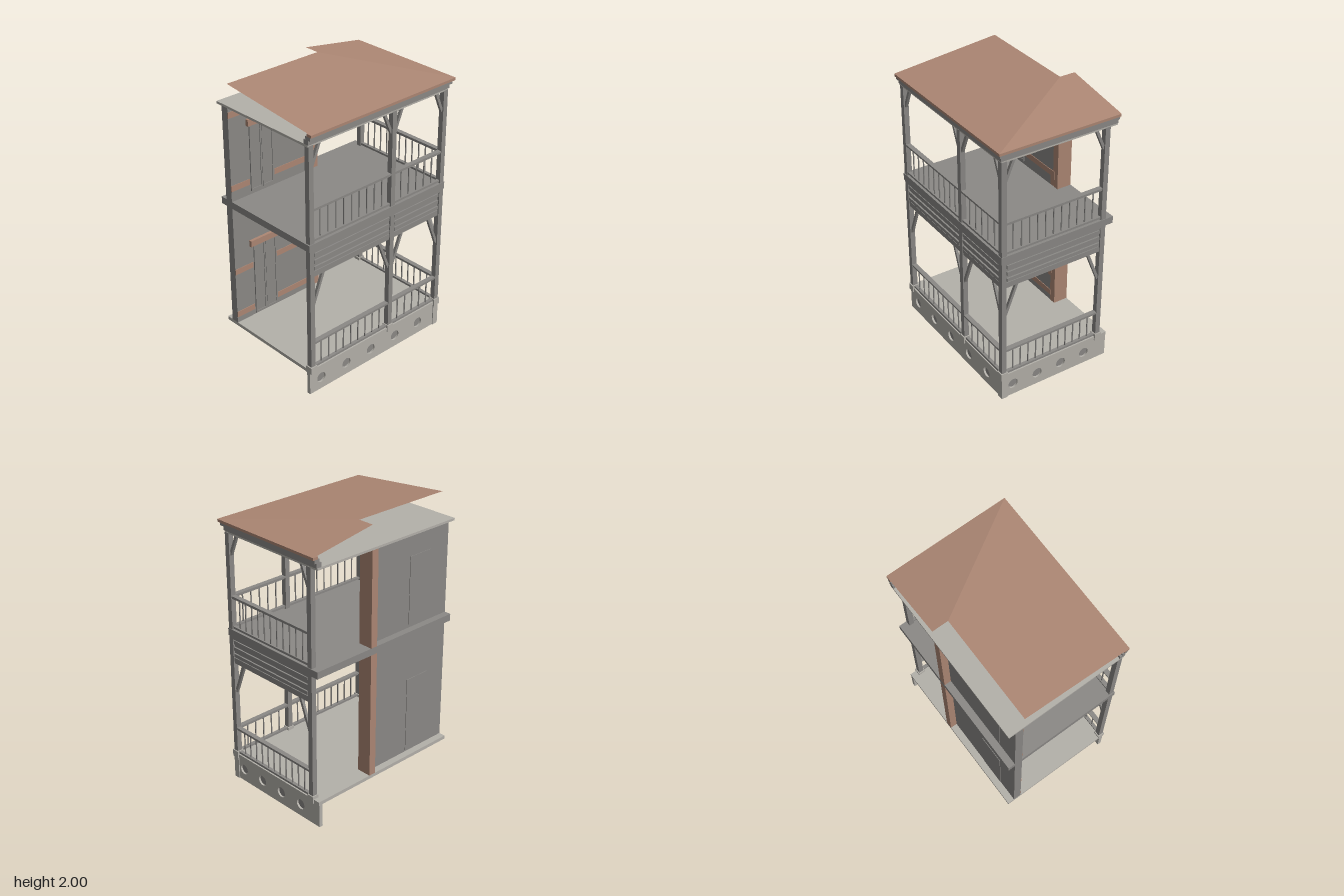
import * as THREE from 'three';

const mat = (name, color, extra = {}) => {
  const m = new THREE.MeshStandardMaterial({ color, ...extra });
  m.name = name;
  return m;
};

export function createModel() {
  const model = new THREE.Group();
  model.name = 'verandaHouse';
  const stone = mat('pale stone', 0xb4b1aa);
  const grey = mat('grey timber', 0x8b8986);
  const clay = mat('terracotta', 0xad8774);
  const roofMat = mat('roof tiles', 0xad8774, { side: THREE.DoubleSide });
  const discMat = mat('vent grey', 0x8b8986, { side: THREE.DoubleSide });

  // Box given by its min and max corners
  const box = (name, m, x0, x1, y0, y1, z0, z1, parent = model) => {
    const b = new THREE.Mesh(new THREE.BoxGeometry(x1 - x0, y1 - y0, z1 - z0), m);
    b.position.set((x0 + x1) / 2, (y0 + y1) / 2, (z0 + z1) / 2);
    b.name = name;
    parent.add(b);
    return b;
  };

  // Plinth panel in the XY plane with round vents, extruded towards +z
  const plinth = (name, u0, u1, vents) => {
    const g = new THREE.Group();
    g.name = name;
    const s = new THREE.Shape();
    s.moveTo(u0, 0).lineTo(u1, 0).lineTo(u1, 0.175).lineTo(u0, 0.175).closePath();
    vents.forEach(u => {
      s.holes.push(new THREE.Path().absarc(u, 0.09, 0.037, 0, Math.PI * 2, true));
      const d = new THREE.Mesh(new THREE.CircleGeometry(0.038, 20), discMat);
      d.position.set(u, 0.09, 0.014);
      d.name = 'ventBack';
      g.add(d);
    });
    const geo = new THREE.ExtrudeGeometry(s, { depth: 0.028, bevelEnabled: false, curveSegments: 10 });
    const p = new THREE.Mesh(geo, stone);
    p.name = 'plinthPanel';
    g.add(p);
    model.add(g);
    return g;
  };
  plinth('frontPlinth', -0.63, 0.57, [-0.53, -0.3, -0.07, 0.165, 0.395]).position.z = 0.38;
  const side = plinth('sidePlinth', -0.38, 0.45, [-0.32, -0.125, 0.07, 0.265]);
  side.rotation.y = Math.PI / 2;
  side.position.x = 0.56;
  box('plinthCorner', stone, 0.55, 0.595, 0, 0.175, 0.37, 0.415);

  // Floors and ceiling
  box('groundFloor', stone, -0.63, 0.593, 0.17, 0.195, -0.45, 0.413);
  box('upperFloor', grey, -0.63, 0.597, 1.105, 1.155, -0.45, 0.418);
  box('ceiling', stone, -0.63, 0.59, 1.83, 1.846, -0.45, 0.412);

  // Posts with stone feet
  const posts = [[-0.603, 0.395], [0.105, 0.395], [0.575, 0.395], [0.575, -0.375]];
  const h = 0.0185;
  posts.forEach(([x, z]) => {
    box('postFoot', stone, Math.max(x - 0.026, -0.63), x + 0.026, 0.165, 0.217, z - 0.026, z + 0.026);
    box('lowerPost', grey, x - h, x + h, 0.2, 1.11, z - h, z + h);
    box('upperPost', grey, x - h, x + h, 1.15, 1.835, z - h, z + h);
  });

  // Slanted brace from a post to the beam above
  const brace = (x, z, dx, dz, y0, y1, run) => {
    const a = new THREE.Vector3(x + dx * h, y0, z + dz * h);
    const b = new THREE.Vector3(x + dx * (h + run), y1, z + dz * (h + run));
    const m = new THREE.Mesh(new THREE.BoxGeometry(0.019, a.distanceTo(b) + 0.01, 0.019), grey);
    m.position.copy(a).lerp(b, 0.5);
    m.quaternion.setFromUnitVectors(new THREE.Vector3(0, 1, 0), b.sub(a).normalize());
    m.name = 'brace';
    model.add(m);
  };

  // Bay between two posts: fascia with slats, railings and braces.
  // Built along local x, then turned for the side bay.
  const bay = (name, len, count) => {
    const g = new THREE.Group();
    g.name = name;
    box('fasciaPanel', grey, 0, len, 0.905, 1.11, -0.012, 0.006, g);
    box('fasciaTopRail', grey, 0, len, 1.085, 1.15, -0.012, 0.018, g);
    box('fasciaBottomRail', grey, 0, len, 0.905, 0.945, -0.012, 0.012, g);
    [0.967, 1.015, 1.065].forEach(y =>
      box('fasciaSlat', grey, 0.005, len - 0.005, y - 0.0125, y + 0.0125, 0, 0.017, g));
    [[0.2, 0.403], [1.163, 1.398]].forEach(([lo, hi]) => {
      box('handRail', grey, 0, len, hi - 0.013, hi, -0.017, 0.017, g);
      box('underRail', grey, 0, len, hi - 0.022, hi - 0.012, -0.01, 0.01, g);
      box('bottomRail', grey, 0, len, lo, lo + 0.015, -0.012, 0.012, g);
      for (let i = 1; i <= count; i++) {
        const x = len * i / (count + 1);
        box('baluster', grey, x - 0.0035, x + 0.0035, lo + 0.01, hi - 0.015, -0.0035, 0.0035, g);
      }
    });
    model.add(g);
    return g;
  };
  bay('frontLeftBay', 0.671, 9).position.set(-0.5845, 0, 0.395);
  bay('frontRightBay', 0.433, 5).position.set(0.1235, 0, 0.395);
  const sideBay = bay('sideBay', 0.733, 11);
  sideBay.rotation.y = Math.PI / 2;
  sideBay.position.set(0.575, 0, 0.3765);

  [[0, 1, 0], [1, -1, 0], [1, 1, 0], [2, -1, 0], [2, 0, -1], [3, 0, 1]].forEach(([i, dx, dz]) => {
    const [x, z] = posts[i];
    brace(x, z, dx, dz, 0.69, 0.905, 0.085);
    brace(x, z, dx, dz, 1.69, 1.83, 0.06);
  });

  // Wall storeys: double door, lintel, bands and corner quoins
  const storeys = [
    { y0: 0.195, y1: 1.105, door: [0.205, 0.762], lintel: 0.808, lx: -0.5, bands: [[0.24, 0.283], [0.585, 0.627]], quoins: [[0.41, 0.56], [0.76, 0.91]] },
    { y0: 1.155, y1: 1.83, door: [1.18, 1.663], lintel: 1.71, lx: -0.488, bands: [[1.23, 1.273], [1.757, 1.8]], quoins: [[1.16, 1.275], [1.46, 1.65]] }
  ];
  const F = -0.342;
  storeys.forEach(({ y0, y1, door: [d0, d1], lintel, lx, bands, quoins }) => {
    box('wall', grey, -0.63, 0.085, y0, y1, -0.4, F);
    box('cornerPier', clay, 0.075, 0.128, y0, y1, -0.45, F + 0.001);
    quoins.forEach(([a, b]) => box('quoin', clay, 0.05, 0.09, a, b, F - 0.004, F + 0.004));
    bands.forEach(([a, b]) => {
      const split = a < d1;
      box('wallBand', clay, -0.63, split ? -0.475 : 0.08, a, b, F - 0.004, F + 0.004);
      if (split) box('wallBand', clay, -0.265, 0.08, a, b, F - 0.004, F + 0.004);
    });
    box('doorLintel', clay, lx, -0.243, d1, lintel, F - 0.005, F + 0.022);
    // Door leaves with raised frames
    [-0.467, -0.367].forEach(x => {
      box('doorLeaf', grey, x, x + 0.098, d0, d1, F - 0.004, F + 0.004);
      box('doorStile', grey, x, x + 0.012, d0, d1, F, F + 0.009);
      box('doorStile', grey, x + 0.086, x + 0.098, d0, d1, F, F + 0.009);
      [d0, d1 - 0.015].forEach(y =>
        box('doorRail', grey, x + 0.012, x + 0.086, y, y + 0.015, F, F + 0.009));
    });
    box('backDoor', grey, -0.467, -0.269, d0, d1, -0.404, -0.398);
  });

  // Stepped eaves along the front and the right side
  [[1.846, 1.878, 0.597, 0.42, grey], [1.878, 1.902, 0.61, 0.435, grey], [1.902, 1.92, 0.622, 0.447, clay]]
    .forEach(([y0, y1, x, z, m]) => {
      box('frontEave', m, -0.63, x, y0, y1, z - 0.04, z);
      box('sideEave', m, x - 0.04, x, y0, y1, -0.45, z - 0.04);
    });

  // Hipped roof: front slope and right slope
  const slope = (name, ...p) => {
    const g = new THREE.BufferGeometry();
    g.setAttribute('position', new THREE.Float32BufferAttribute([0, 1, 2, 0, 2, 3].flatMap(i => p[i]), 3));
    g.computeVertexNormals();
    const m = new THREE.Mesh(g, roofMat);
    m.name = name;
    model.add(m);
  };
  const peak = [0.13, 2, -0.335], corner = [0.622, 1.921, 0.447];
  slope('frontRoof', [-0.63, 2, -0.335], [-0.63, 1.921, 0.447], corner, peak);
  slope('sideRoof', peak, corner, [0.622, 1.921, -0.45], [0.13, 2, -0.45]);

  return model;
}
